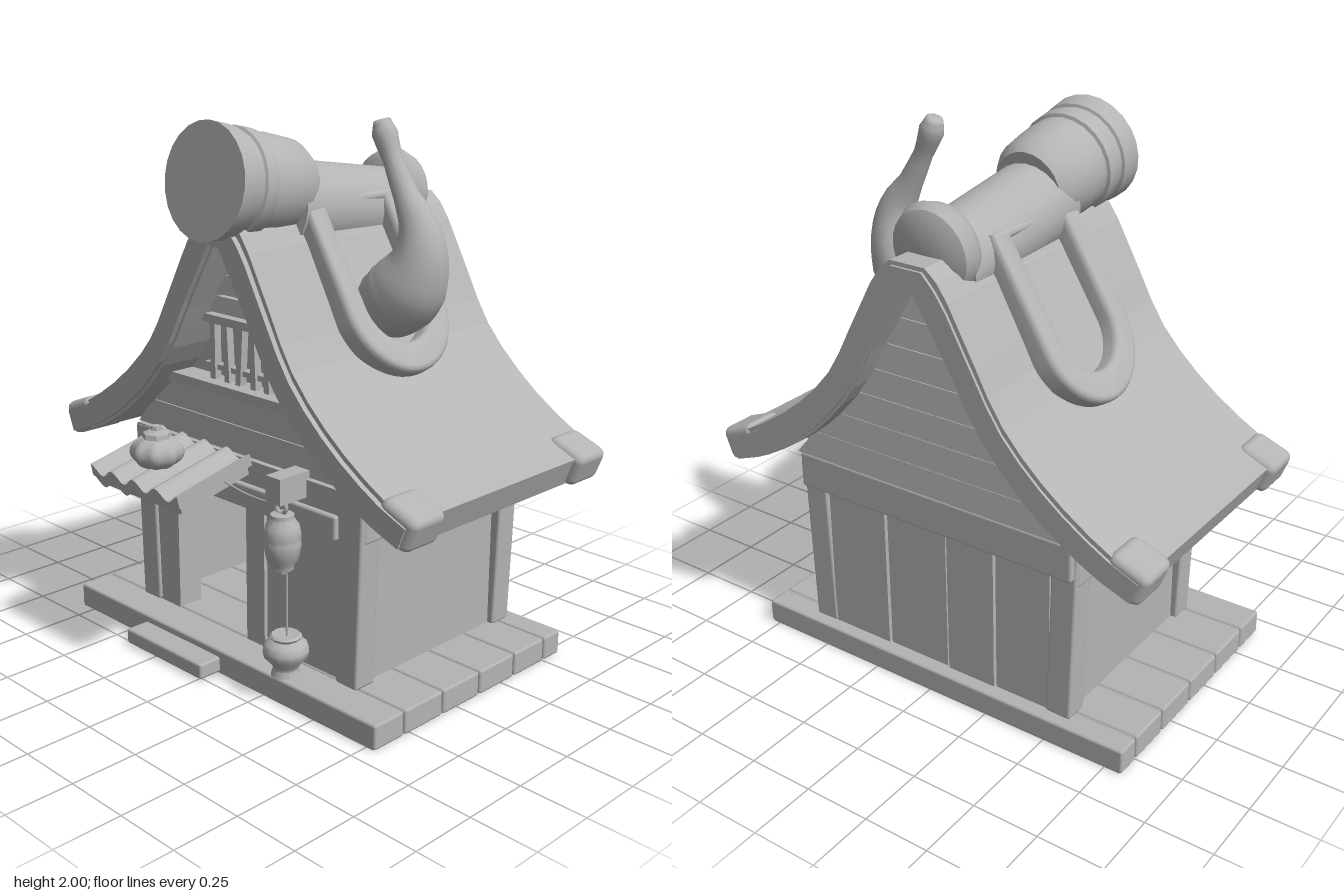
import * as THREE from 'three';
import { RoundedBoxGeometry } from 'three/addons/geometries/RoundedBoxGeometry.js';
import { toCreasedNormals } from 'three/addons/utils/BufferGeometryUtils.js';

const V2 = (x, y) => new THREE.Vector2(x, y);
const V3 = (x, y, z) => new THREE.Vector3(x, y, z);

export function createModel() {
  const model = new THREE.Group();
  model.name = 'shrineHouse';
  const clay = new THREE.MeshStandardMaterial({ color: 0xb4b4b4, side: THREE.DoubleSide });
  clay.name = 'clay grey';

  const add = (name, geo, x = 0, y = 0, z = 0, parent = model) => {
    const m = new THREE.Mesh(geo, clay);
    m.name = name;
    m.position.set(x, y, z);
    parent.add(m);
    return m;
  };
  // Box given by its limits on each axis
  const span = (name, x0, x1, y0, y1, z0, z1, r = 0) => {
    const s = [x1 - x0, y1 - y0, z1 - z0];
    const g = r ? new RoundedBoxGeometry(...s, 1, r) : new THREE.BoxGeometry(...s);
    return add(name, g, (x0 + x1) / 2, (y0 + y1) / 2, (z0 + z1) / 2);
  };
  const extrude = (pts, depth) => new THREE.ExtrudeGeometry(new THREE.Shape(pts), { depth, bevelEnabled: false });
  const lathe = (pts, n = 12) => toCreasedNormals(new THREE.LatheGeometry(pts.map(p => V2(...p)), n), 0.7);

  // Base planks and step
  span('baseCore', -0.81, 0.78, 0, 0.085, -0.595, 0.425);
  const seams = [-0.6, -0.5, -0.32, -0.12, 0.08, 0.28, 0.43];
  for (let i = 0; i < 6; i++)
    span('basePlank', -0.82, 0.79, 0, 0.092, seams[i] + 0.003, seams[i + 1] - 0.003, 0.01);
  span('doorStep', -0.41, 0.02, 0.005, 0.065, 0.4, 0.52, 0.01);

  // Walls around the open doorway
  span('sideWall', -0.555, -0.52, 0.09, 0.8, -0.52, 0.25);
  span('sideWall', 0.52, 0.555, 0.09, 0.8, -0.52, 0.25);
  span('backWall', -0.54, 0.54, 0.09, 0.8, -0.53, -0.49);
  span('ceiling', -0.55, 0.55, 0.74, 0.78, -0.52, 0.26);
  span('frontPanel', 0.1, 0.52, 0.09, 0.66, 0.22, 0.27);
  span('doorPost', -0.51, -0.37, 0.09, 0.66, 0.18, 0.285);
  span('doorPost', 0.015, 0.11, 0.09, 0.66, 0.18, 0.285);
  span('frontBeam', -0.59, 0.59, 0.63, 0.8, 0.22, 0.295);
  span('frontLintel', -0.5, 0.49, 0.62, 0.71, 0.27, 0.315, 0.01);
  span('backBeam', -0.59, 0.59, 0.66, 0.8, -0.575, -0.5, 0.01);
  for (const s of [-1, 1]) {
    span('sideBeam', s * 0.575 - 0.025, s * 0.575 + 0.025, 0.63, 0.8, -0.54, 0.28, 0.008);
    // Corner posts lean outward
    for (const z of [0.25, -0.505]) {
      const p = add('cornerPost', new RoundedBoxGeometry(0.1, 0.71, 0.095, 1, 0.01), s * 0.54, 0.445, z);
      p.rotation.z = -s * 0.03;
    }
  }
  const backSeams = [-0.49, -0.26, -0.05, 0.22, 0.49];
  for (let i = 0; i < 4; i++)
    span('backPlank', backSeams[i] + 0.005, backSeams[i + 1] - 0.005, 0.09, 0.66, -0.54 - (i % 2) * 0.006, -0.52);

  // Curved roof shell: one profile for the outside, one for the underside
  const curve = pts => new THREE.CatmullRomCurve3(pts.map(p => V3(p[0], p[1], 0))).getPoints(14);
  const outer = curve([[0.07, 1.67], [0.125, 1.62], [0.245, 1.41], [0.365, 1.2], [0.545, 1.02], [0.755, 0.88], [0.89, 0.82]]);
  const inner = curve([[0.02, 1.57], [0.15, 1.35], [0.28, 1.13], [0.47, 0.93], [0.7, 0.78], [0.85, 0.72]]);
  const arch = pts => [...pts.map(p => V2(-p.x, p.y)).reverse(), ...pts.map(p => V2(p.x, p.y))];
  add('roof', extrude([...arch(outer), ...arch(inner).reverse()], 1.03), 0, 0, -0.64);
  // Rake trim, a narrower band standing proud of both gable ends
  const mix = t => inner.map((p, i) => p.clone().lerp(outer[i], t));
  const rake = [...arch(mix(0.85)), ...arch(mix(0.1)).reverse()];
  add('frontRake', extrude(rake, 0.025), 0, 0, 0.385);
  add('backRake', extrude(rake, 0.015), 0, 0, -0.65);
  for (const s of [-1, 1]) for (const z of [0.32, -0.565]) {
    const cap = add('eaveCap', new RoundedBoxGeometry(0.16, 0.13, 0.165, 2, 0.03), s * 0.825, 0.795, z);
    cap.rotation.z = -s * 0.37;
  }

  // Gable fill, siding boards and barred window
  const halfWidth = y => {
    for (let i = 1; i < inner.length; i++) {
      const a = inner[i - 1], b = inner[i];
      if (y <= a.y && y >= b.y) return a.x + (b.x - a.x) * (a.y - y) / (a.y - b.y);
    }
    return 0.02;
  };
  add('atticFill', extrude(arch(inner.filter(p => p.y > 0.79)), 0.75), 0, 0, -0.53);
  const slat = (name, y0, y1, z, depth, tilt) => {
    const w0 = Math.min(halfWidth(y0) + 0.01, 0.6), w1 = halfWidth(y1) + 0.01, h = y1 - y0;
    const m = add(name, extrude([V2(-w0, 0), V2(w0, 0), V2(w1, h), V2(-w1, h)], depth), 0, y0, z);
    m.rotation.x = tilt;
  };
  slat('gableBoard', 0.8, 0.9, 0.22, 0.06, -0.06);
  slat('gableBoard', 0.91, 1.02, 0.22, 0.07, -0.06);
  slat('windowSill', 1.02, 1.055, 0.22, 0.1, 0);
  slat('windowHead', 1.27, 1.3, 0.22, 0.08, 0);
  slat('gableBoard', 1.3, 1.36, 0.22, 0.06, -0.1);
  slat('gableBoard', 1.37, 1.44, 0.22, 0.06, -0.1);
  slat('gableBoard', 1.45, 1.55, 0.22, 0.06, -0.1);
  for (let i = 0; i < 6; i++) {
    const bar = add('windowBar', new THREE.BoxGeometry(0.026, 0.23, 0.03), -0.165 + i * 0.07, 1.16, 0.26);
    bar.rotation.z = 0.07 * Math.sin(i * 2.3);
  }
  span('windowRail', -0.22, 0.22, 1.09, 1.11, 0.23, 0.265);
  for (let i = 0; i < 7; i++) slat('backBoard', 0.8 + i * 0.108, 0.9 + i * 0.108, -0.575, 0.06, 0.1);

  // Raised saddle collars around a sunken dish on each slope
  const stadium = (r, end, cls) => {
    const p = new cls();
    p.moveTo(-0.02, -r);
    p.lineTo(end - r, -r);
    p.absarc(end - r, 0, r, -Math.PI / 2, Math.PI / 2, false);
    p.lineTo(-0.02, r);
    p.closePath();
    return p;
  };
  for (const s of [0, 1]) {
    const side = new THREE.Group();
    side.name = s ? 'rightSaddle' : 'leftSaddle';
    side.position.z = -0.13;
    side.rotation.y = s * Math.PI;
    model.add(side);
    const tilted = new THREE.Group();
    tilted.name = 'saddleSlope';
    tilted.applyMatrix4(new THREE.Matrix4().makeBasis(V3(0.521, -0.853, 0), V3(0, 0, -1), V3(0.853, 0.521, 0)));
    tilted.position.set(0.16, 1.69, 0);
    side.add(tilted);
    const ring = stadium(0.225, 0.625, THREE.Shape);
    ring.holes.push(stadium(0.17, 0.55, THREE.Path));
    add('saddleRim', toCreasedNormals(new THREE.ExtrudeGeometry(ring, {
      depth: 0.14, bevelSize: 0.02, bevelThickness: 0.025, bevelSegments: 3, curveSegments: 12
    }), 0.8), 0, 0, -0.165, tilted);
    add('saddleDish', new THREE.ExtrudeGeometry(stadium(0.18, 0.56, THREE.Shape), { depth: 0.08, bevelEnabled: false }),
      0, 0, -0.145, tilted);
  }

  // Ridge log with flared barrel at the front and a knob at the back
  const alongZ = (name, pts, y, z, tilt) => {
    const m = add(name, lathe(pts, 24), 0, y, z);
    m.rotation.x = Math.PI / 2 + tilt;
  };
  alongZ('ridgeLog', [[0, -0.5], [0.15, -0.5], [0.165, 0.1], [0, 0.1]], 1.675, 0.02, -0.12);
  alongZ('ridgeBarrel', [[0, -0.22], [0.135, -0.22], [0.165, -0.17], [0.178, -0.06], [0.178, 0.02], [0.19, 0.025],
    [0.193, 0.08], [0.183, 0.085], [0.185, 0.11], [0.195, 0.115], [0.203, 0.195], [0, 0.195]], 1.775, 0.25, -0.13);
  alongZ('ridgeKnob', [[0, -0.065], [0.11, -0.06], [0.15, -0.04], [0.165, 0], [0.15, 0.04], [0.12, 0.06], [0, 0.06]],
    1.675, -0.485, -0.1);

  // Gourd-shaped horn swept through rings of changing radius
  const rings = [[0.26, 1.31, 0.09], [0.32, 1.345, 0.125], [0.39, 1.39, 0.14], [0.44, 1.45, 0.132], [0.475, 1.54, 0.1],
    [0.465, 1.64, 0.07], [0.405, 1.74, 0.045], [0.345, 1.85, 0.035], [0.305, 1.94, 0.046], [0.29, 1.985, 0.03]];
  const path = new THREE.CatmullRomCurve3(rings.map(r => V3(r[0], r[1], -0.11)));
  const STEPS = 27, SIDES = 14, pos = [], idx = [];
  for (let i = 0; i <= STEPS; i++) {
    const t = i / STEPS, f = t * (rings.length - 1), k = Math.min(Math.floor(f), rings.length - 2);
    const r = THREE.MathUtils.lerp(rings[k][2], rings[k + 1][2], f - k);
    const c = path.getPoint(t), d = path.getTangent(t);
    for (let j = 0; j < SIDES; j++) {
      const a = j / SIDES * Math.PI * 2;
      pos.push(c.x + d.y * r * Math.cos(a), c.y - d.x * r * Math.cos(a), c.z - r * Math.sin(a));
      const n = (j + 1) % SIDES, b = i * SIDES;
      if (i < STEPS) idx.push(b + j, b + n, b + SIDES + j, b + n, b + SIDES + n, b + SIDES + j);
    }
  }
  for (let j = 1; j < SIDES - 1; j++) {
    const e = STEPS * SIDES;
    idx.push(0, j + 1, j, e, e + j, e + j + 1);
  }
  const horn = new THREE.BufferGeometry();
  horn.setAttribute('position', new THREE.Float32BufferAttribute(pos, 3));
  horn.setIndex(idx);
  horn.computeVertexNormals();
  add('gourdHorn', horn);

  // Wavy tiled canopy over the door
  const wave = [];
  for (let i = 0; i <= 36; i++) wave.push(V2(-0.245 + i * 0.49 / 36, 0.018 * Math.cos(i / 36 * Math.PI * 8)));
  const under = wave.map(p => V2(p.x, p.y - 0.045)).reverse();
  const canopy = new THREE.Group();
  canopy.name = 'canopy';
  canopy.position.set(-0.185, 0.81, 0.3);
  canopy.rotation.x = 0.22;
  model.add(canopy);
  add('canopyTiles', extrude([...wave, ...under], 0.345), 0, 0, 0, canopy);
  add('canopyBoard', new THREE.BoxGeometry(0.46, 0.025, 0.32), 0, -0.05, 0.17, canopy);

  // Ribbed pumpkin on the canopy
  const pumpkin = new THREE.SphereGeometry(0.092, 32, 12);
  const pp = pumpkin.attributes.position;
  for (let i = 0; i < pp.count; i++) {
    const k = 1 + 0.07 * Math.cos(8 * Math.atan2(pp.getZ(i), pp.getX(i)));
    pp.setXYZ(i, pp.getX(i) * k, pp.getY(i) * 0.68, pp.getZ(i) * k);
  }
  pumpkin.computeVertexNormals();
  add('pumpkin', pumpkin, -0.18, 0.835, 0.53);
  add('pumpkinTop', lathe([[0, -0.02], [0.055, -0.02], [0.05, 0.01], [0.02, 0.02], [0.018, 0.035], [0, 0.035]], 7), -0.18, 0.895, 0.53);

  // Hanging lantern, rope and standing lantern
  span('lanternBracket', 0.265, 0.335, 0.735, 0.83, 0.27, 0.42);
  add('lanternLoop', new THREE.TorusGeometry(0.024, 0.008, 6, 12), 0.3, 0.715, 0.38);
  add('hangingLantern', lathe([[0, -0.12], [0.012, -0.12], [0.015, -0.1], [0.04, -0.1], [0.042, -0.082], [0.058, -0.06], [0.068, -0.005],
    [0.064, 0.01], [0.068, 0.025], [0.06, 0.06], [0.042, 0.085], [0.042, 0.1], [0, 0.105]]), 0.305, 0.59, 0.38);
  add('lanternRope', new THREE.CylinderGeometry(0.004, 0.004, 0.27, 5), 0.325, 0.36, 0.38);
  add('standingLantern', lathe([[0, -0.09], [0.055, -0.09], [0.045, -0.065], [0.05, -0.05], [0.078, -0.02], [0.084, 0.005], [0.076, 0.03],
    [0.052, 0.048], [0.058, 0.058], [0.05, 0.065], [0, 0.06]]), 0.315, 0.18, 0.375);
  const cord = new THREE.CatmullRomCurve3([V3(0.04, 0.755, 0.42), V3(0.15, 0.725, 0.4), V3(0.28, 0.715, 0.38)]);
  add('cord', new THREE.TubeGeometry(cord, 8, 0.004, 5));

  return model;
}
